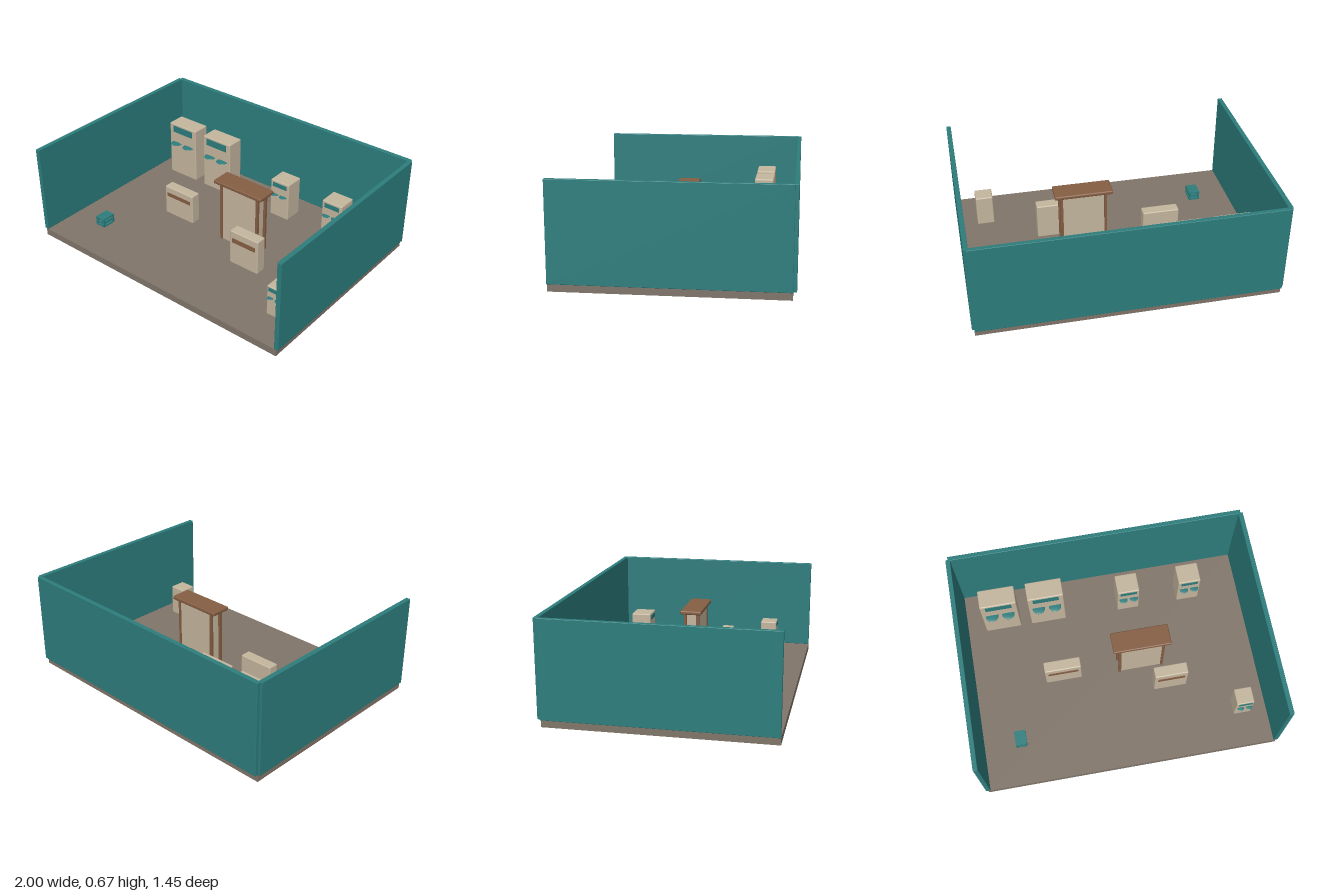
import * as THREE from 'three';
import { RoundedBoxGeometry } from 'three/addons/geometries/RoundedBoxGeometry.js';

const mat = (name, color) => {
  const m = new THREE.MeshStandardMaterial({ color });
  m.name = name;
  return m;
};

export function createModel() {
  const teal = mat('teal', 0x2d7d7d);
  const beige = mat('beige', 0xc4b69e);
  const stone = mat('stone', 0x80756a);
  const brown = mat('brown', 0x855e43);
  const model = new THREE.Group();
  model.name = 'room';
  const floorY = 0.048;

  // Box given by its limits on each axis, with optional rounded edges
  function box(parent, name, material, [x0, x1], [y0, y1], [z0, z1], radius = 0) {
    const w = x1 - x0, h = y1 - y0, d = z1 - z0;
    const geometry = radius
      ? new RoundedBoxGeometry(w, h, d, 2, radius)
      : new THREE.BoxGeometry(w, h, d);
    const mesh = new THREE.Mesh(geometry, material);
    mesh.name = name;
    mesh.position.set((x0 + x1) / 2, (y0 + y1) / 2, (z0 + z1) / 2);
    parent.add(mesh);
    return mesh;
  }

  function group(name) {
    const g = new THREE.Group();
    g.name = name;
    model.add(g);
    return g;
  }

  // Floor and three walls
  box(model, 'floor', stone, [-0.985, 0.985], [0, floorY], [-0.705, 0.72]);
  box(model, 'backWall', teal, [-0.985, 0.985], [floorY, 0.67], [-0.727, -0.698], 0.003);
  for (const s of [-1, 1]) {
    box(model, s > 0 ? 'leftWall' : 'rightWall', teal,
      s > 0 ? [0.97, 1] : [-1, -0.97], [floorY, 0.67], [-0.705, 0.72], 0.003);
  }

  // Cabinet with a display panel and two shallow round trays
  function cabinet({ x, z, top, panel, trayY, trayR, trayGap }) {
    const g = group('cabinet');
    const cx = (x[0] + x[1]) / 2;
    box(g, 'cabinetBody', beige, x, [floorY, top], z, 0.008);
    box(g, 'displayPanel', teal, [cx - panel.w / 2, cx + panel.w / 2], panel.y,
      [z[1] - 0.003, z[1] + 0.003]);
    for (const s of [-1, 1]) {
      const tray = new THREE.Mesh(new THREE.SphereGeometry(trayR, 24, 12), teal);
      tray.name = 'tray';
      tray.scale.y = 0.16;
      tray.position.set(cx + s * trayGap, trayY, z[1] + 0.004);
      g.add(tray);
    }
  }

  const large = { z: [-0.545, -0.415], top: 0.462, panel: { w: 0.178, y: [0.396, 0.447] },
    trayY: 0.31, trayR: 0.043, trayGap: 0.056 };
  const medium = { z: [-0.55, -0.411], top: 0.334, panel: { w: 0.115, y: [0.286, 0.318] },
    trayY: 0.227, trayR: 0.029, trayGap: 0.036 };
  const small = { z: [0.38, 0.493], top: 0.266, panel: { w: 0.092, y: [0.23, 0.257] },
    trayY: 0.187, trayR: 0.021, trayGap: 0.028 };
  cabinet({ x: [-0.842, -0.595], ...large });
  cabinet({ x: [-0.519, -0.273], ...large });
  cabinet({ x: [0.099, 0.251], ...medium });
  cabinet({ x: [0.527, 0.682], ...medium });
  cabinet({ x: [0.743, 0.861], ...small });

  // Low counters with a wooden strip on the front
  function counter(x, top, z, stripY) {
    const g = group('counter');
    box(g, 'counterBody', beige, x, [floorY, top], z, 0.008);
    box(g, 'counterStrip', brown, [x[0] + 0.021, x[1] - 0.021], stripY,
      [z[1] - 0.003, z[1] + 0.004]);
  }
  counter([-0.484, -0.235], 0.268, [-0.033, 0.042], [0.195, 0.222]);
  counter([0.24, 0.467], 0.3, [0.144, 0.222], [0.217, 0.249]);

  // Booth with corner posts under an overhanging roof
  const booth = group('booth');
  box(booth, 'boothBody', beige, [0.038, 0.316], [0.052, 0.484], [-0.045, 0.045]);
  for (const x of [0.03, 0.324]) {
    for (const z of [-0.042, 0.042]) {
      box(booth, 'boothPost', brown, [x - 0.009, x + 0.009], [floorY, 0.484],
        [z - 0.009, z + 0.009]);
    }
  }
  box(booth, 'boothRoof', brown, [-0.018, 0.369], [0.482, 0.508], [-0.07, 0.073], 0.008);

  // Small open-sided crate
  const crate = group('crate');
  const cx = [-0.757, -0.682], cz = [0.364, 0.463];
  box(crate, 'crateBase', teal, cx, [floorY, 0.058], cz);
  box(crate, 'crateTop', teal, cx, [0.102, 0.112], cz);
  for (const x of [cx[0], cx[1] - 0.012]) {
    for (const z of [cz[0], cz[1] - 0.012]) {
      box(crate, 'cratePost', teal, [x, x + 0.012], [0.058, 0.102], [z, z + 0.012]);
    }
    box(crate, 'crateSideSlat', teal, [x + 0.002, x + 0.01], [0.073, 0.087], cz);
  }
  for (const z of [cz[0], cz[1] - 0.008]) {
    box(crate, 'crateEndSlat', teal, cx, [0.073, 0.087], [z + 0.001, z + 0.007]);
  }

  return model;
}
